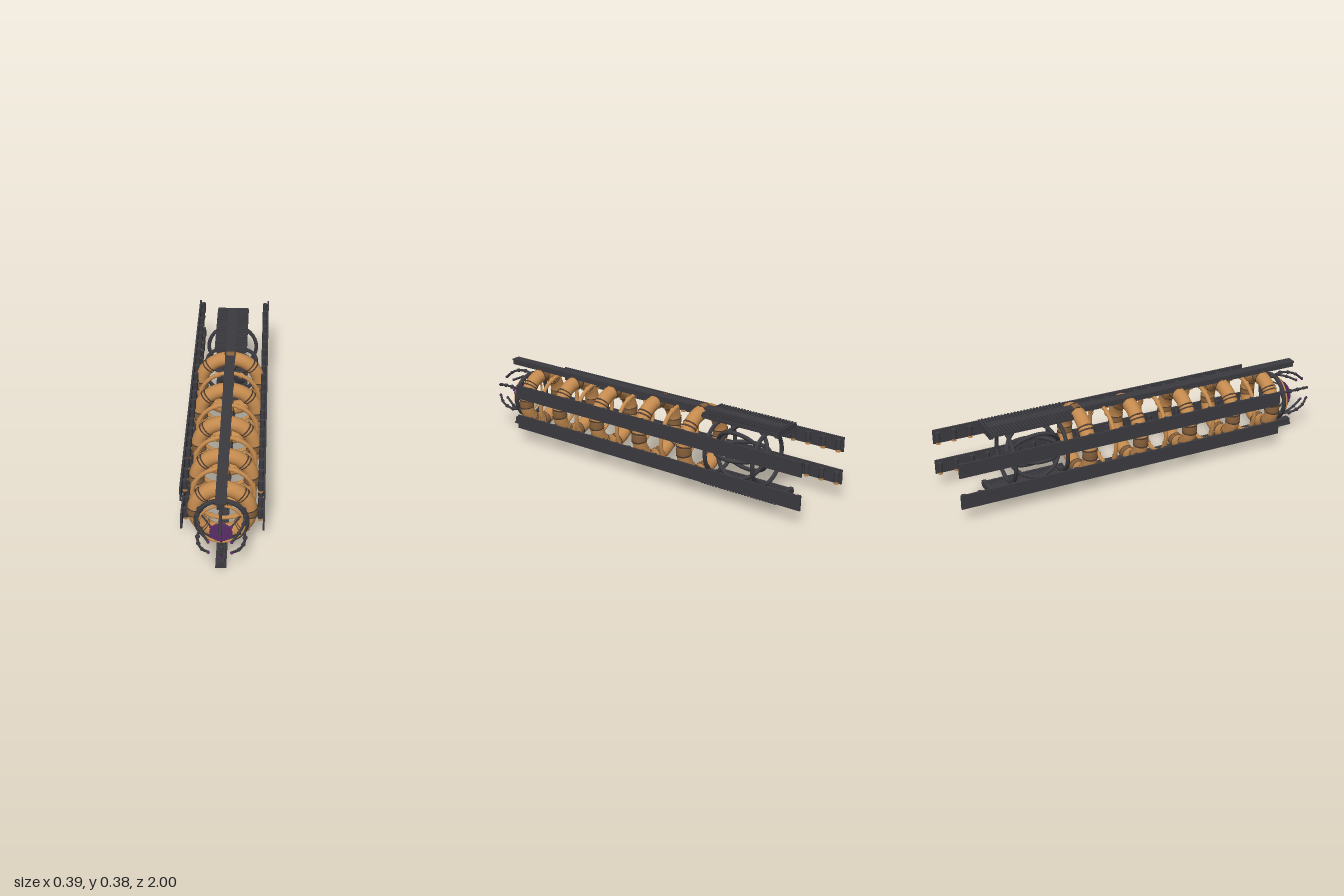
import * as THREE from 'three';

const mat = (color) => new THREE.MeshStandardMaterial({ color, side: THREE.DoubleSide });
const V = (x, y, z) => new THREE.Vector3(x, y, z);

export function createModel() {
  const steel = mat(0x3a3a40), copper = mat(0xc48a4e), band = mat(0x4c3b30),
    sleeve = mat(0x86603a), purple = mat(0x5a2d66);
  const root = new THREE.Group();
  root.name = 'cylindricalFrame';
  // Everything is laid out around a long z axis through the middle
  const axis = new THREE.Group();
  axis.name = 'assembly';
  axis.position.y = 0.196;
  root.add(axis);

  const add = (parent, name, geo, material, x = 0, y = 0, z = 0) => {
    const m = new THREE.Mesh(geo, material);
    m.name = name;
    m.position.set(x, y, z);
    parent.add(m);
    return m;
  };
  const box = (p, name, m, w, h, d, x, y, z) => add(p, name, new THREE.BoxGeometry(w, h, d), m, x, y, z);
  const rod = (p, name, m, a, b, r) => {
    const d = b.clone().sub(a);
    const mesh = add(p, name, new THREE.CylinderGeometry(r, r, d.length(), 10), m);
    mesh.position.copy(a).addScaledVector(d, 0.5);
    mesh.quaternion.setFromUnitVectors(V(0, 1, 0), d.normalize());
    return mesh;
  };
  // Collar: short piece of torus hugging a ring at a given angle
  const collar = (p, name, m, R, r, angle, arc) => {
    const c = add(p, name, new THREE.TorusGeometry(R, r, 16, 4, arc), m);
    c.rotation.z = angle - arc / 2;
  };

  // Large copper rings, growing towards the back
  [[0.73, 0.161], [0.49, 0.167], [0.235, 0.173], [-0.045, 0.181], [-0.325, 0.19]].forEach(([z, outer]) => {
    const g = new THREE.Group();
    g.name = 'coilRing';
    g.position.z = z;
    axis.add(g);
    const r = 0.036, R = outer - r;
    add(g, 'ringTube', new THREE.TorusGeometry(R, r, 20, 64), copper);
    for (let i = 0; i < 8; i++) {
      const a = i * Math.PI / 4;
      if (i % 2 === 0) collar(g, 'sleeve', sleeve, R, r + 0.0015, a, 0.24);
      const gap = i % 2 === 0 ? 0.13 : 0.055;
      for (const s of [-1, 1]) {
        collar(g, 'clampBand', band, R, r + 0.003, a + s * gap, 0.045);
        // Bolt lug on the outside of each band
        const lug = box(g, 'clampLug', band, 0.005, 0.007, 0.016,
          Math.cos(a + s * gap) * (outer + 0.001), Math.sin(a + s * gap) * (outer + 0.001), 0);
        lug.rotation.z = a + s * gap;
      }
    }
  });

  // Thin copper rings in between, with small nubs
  [[0.61, 0.155], [0.365, 0.155], [0.095, 0.158], [-0.185, 0.163]].forEach(([z, outer]) => {
    const g = new THREE.Group();
    g.name = 'thinRing';
    g.position.z = z;
    axis.add(g);
    const r = 0.01, R = outer - r;
    add(g, 'thinRingTube', new THREE.TorusGeometry(R, r, 12, 56), copper);
    for (let i = 0; i < 8; i++) collar(g, 'thinRingCollar', copper, R, r + 0.004, (i + 0.5) * Math.PI / 4, 0.1);
  });

  // Top and bottom rails with ribbed plates at the rear
  for (const s of [1, -1]) {
    const g = new THREE.Group();
    g.name = s > 0 ? 'topRail' : 'bottomRail';
    axis.add(g);
    box(g, 'railWeb', steel, 0.034, 0.026, 1.71, 0, s * 0.166, 0.065);
    box(g, 'railFlange', steel, 0.05, 0.008, 1.71, 0, s * 0.181, 0.065);
    box(g, 'ribPlate', steel, 0.17, 0.01, 0.43, 0, s * 0.168, -0.59);
    for (let i = 0; i < 26; i++) box(g, 'rib', steel, 0.164, 0.026, 0.008, 0, s * 0.17, -0.382 - i * 0.0167);
    box(g, 'endLip', steel, 0.16, 0.006, 0.02, 0, s * 0.152, -0.795);
    for (const x of [-0.065, 0.065]) box(g, 'plateRunner', steel, 0.012, 0.008, 0.42, x, s * 0.155, -0.59);
  }

  // Four long side panels with a row of studs on the inside
  for (const sx of [1, -1]) for (const sy of [1, -1]) {
    const g = new THREE.Group();
    g.name = (sx > 0 ? 'left' : 'right') + (sy > 0 ? 'UpperPanel' : 'LowerPanel');
    g.position.set(0, sy * 0.0825, 0);
    axis.add(g);
    box(g, 'panel', steel, 0.009, 0.073, 1.73, sx * 0.1905, 0, -0.135);
    const stud = new THREE.CylinderGeometry(0.0125, 0.0125, 0.05, 12);
    const foot = new THREE.CylinderGeometry(0.0115, 0.0115, 0.013, 12);
    for (let i = 0; i < 21; i++) {
      const z = -0.98 + i * 0.0817;
      add(g, 'stud', stud, steel, sx * 0.174, 0.003, z);
      add(g, 'studFoot', foot, copper, sx * 0.174, -0.0275, z);
    }
  }

  // Rear cage: two upright hoops and three crossing hoops along the axis
  const cage = new THREE.Group();
  cage.name = 'rearCage';
  cage.position.z = -0.56;
  axis.add(cage);
  for (const z of [0.13, -0.14]) add(cage, 'uprightHoop', new THREE.TorusGeometry(0.13, 0.01, 12, 48), steel, 0, 0, z);
  for (let i = 0; i < 3; i++) {
    const h = new THREE.Group();
    h.name = 'crossHoop';
    h.rotation.z = i * Math.PI / 3;
    cage.add(h);
    add(h, 'crossHoopTube', new THREE.TorusGeometry(0.132, 0.01, 12, 48), steel).rotation.x = Math.PI / 2;
  }

  // Front collar, inner copper ring and lens
  const head = new THREE.Group();
  head.name = 'head';
  axis.add(head);
  add(head, 'frontCollar', new THREE.TorusGeometry(0.116, 0.011, 14, 56), steel, 0, 0, 0.81);
  add(head, 'innerRing', new THREE.TorusGeometry(0.104, 0.006, 10, 48), copper, 0, 0, 0.832);
  add(head, 'lens', new THREE.CylinderGeometry(0.048, 0.048, 0.008, 40), purple, 0, 0, 0.89).rotation.x = Math.PI / 2;
  add(head, 'lensRim', new THREE.TorusGeometry(0.049, 0.003, 8, 40), purple, 0, 0, 0.89);

  // Six jointed claws curving in towards the lens
  const pts = [[0.116, 0.8], [0.124, 0.85], [0.117, 0.9], [0.095, 0.95], [0.061, 0.99]].map(([r, z]) => V(r, 0, z));
  const curve = new THREE.CatmullRomCurve3(pts);
  for (let i = 0; i < 6; i++) {
    const g = new THREE.Group();
    g.name = 'claw';
    g.rotation.z = Math.PI / 6 + i * Math.PI / 3;
    head.add(g);
    add(g, 'clawArm', new THREE.TubeGeometry(curve, 20, 0.006, 10), steel);
    for (let k = 0; k < 4; k++) add(g, 'clawJoint', new THREE.SphereGeometry(0.0125 - k * 0.0012, 12, 8), steel, ...pts[k].toArray());
    add(g, 'clawTip', new THREE.SphereGeometry(0.0075, 12, 8), purple, 0.06, 0, 0.9925);
    rod(g, 'lensStrut', steel, V(0.106, 0, 0.83), V(0.052, 0, 0.885), 0.004);
    add(g, 'strutBall', new THREE.SphereGeometry(0.007, 10, 8), purple, 0.054, 0, 0.884);
  }
  return root;
}
